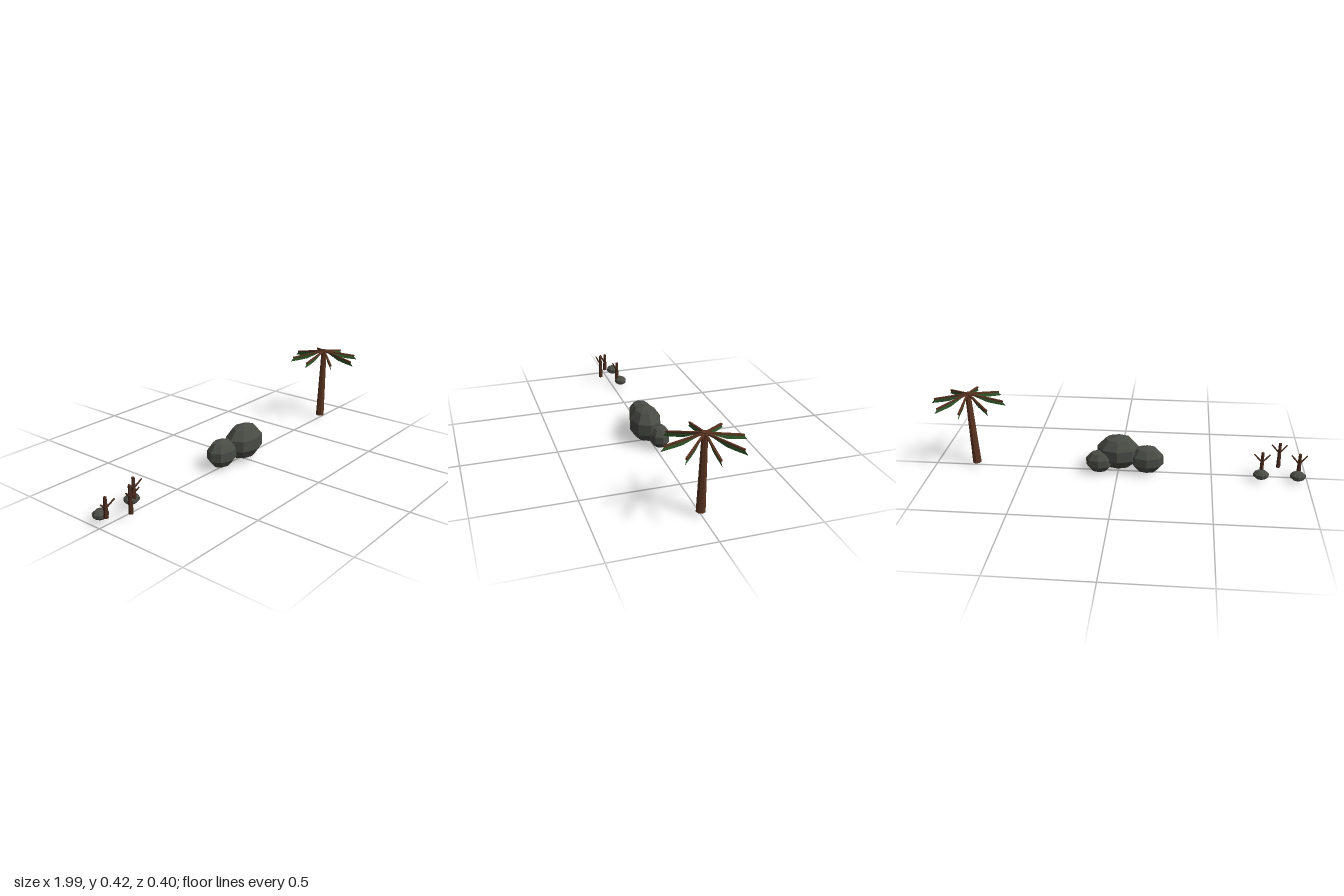
import * as THREE from 'three';

const mat = (name, color, extra = {}) => {
  const m = new THREE.MeshStandardMaterial({ color, flatShading: true, ...extra });
  m.name = name;
  return m;
};

export function createModel() {
  const bark = mat('palm bark', 0x5a3421);
  const wood = mat('dead wood', 0x4a2c1e);
  const stone = mat('stone', 0x494b45);
  const leaf = mat('frond green', 0x2f5a2b, { side: THREE.DoubleSide });
  const root = new THREE.Group();
  root.name = 'desertProps';

  const add = (parent, name, geometry, material) => {
    const mesh = new THREE.Mesh(geometry, material);
    mesh.name = name;
    parent.add(mesh);
    return mesh;
  };
  const group = (name, x, y, z) => {
    const g = new THREE.Group();
    g.name = name;
    g.position.set(x, y, z);
    root.add(g);
    return g;
  };
  // Tapered rod between two points
  const rod = (parent, name, a, b, r0, r1, sides, material) => {
    const from = new THREE.Vector3(...a), dir = new THREE.Vector3(...b).sub(from);
    const len = dir.length();
    const mesh = add(parent, name, new THREE.CylinderGeometry(r1, r0, len, sides), material);
    mesh.position.copy(from).addScaledVector(dir, 0.5);
    mesh.quaternion.setFromUnitVectors(new THREE.Vector3(0, 1, 0), dir.normalize());
    return mesh;
  };

  // Boulders and small flat stones: name, centre, radii
  const rocks = [
    ['largeBoulder', [0, 0.107, 0.0225], [0.12, 0.096, 0.088]],
    ['rightBoulder', [-0.155, 0.08, -0.002], [0.093, 0.077, 0.07]],
    ['leftBoulder', [0.1, 0.068, -0.025], [0.073, 0.062, 0.055]],
    ['outerStone', [-0.948, 0.04, -0.048], [0.043, 0.025, 0.037]],
    ['innerStone', [-0.757, 0.04, -0.048], [0.043, 0.025, 0.037]],
  ];
  for (const [name, centre, radii] of rocks) {
    const rock = add(root, name, new THREE.SphereGeometry(1, 8, 5), stone);
    rock.position.set(...centre);
    rock.scale.set(...radii);
  }

  // Dead saplings: base position, height, forward reach of the branches
  const saplings = [
    [-0.957, 0.04, 0.0, 0.104, 0.018],
    [-0.856, 0.037, 0.053, 0.14, 0.018],
    [-0.76, 0.04, -0.027, 0.118, 0.014],
  ];
  for (const [x, y, z, h, reach] of saplings) {
    const sapling = group('sapling', x, y, z);
    rod(sapling, 'saplingTrunk', [0, 0, 0], [0, h, 0], 0.012, 0.008, 6, wood);
    for (const side of [-1, 1]) {
      rod(sapling, 'saplingBranch', [0, h - 0.058, 0], [side * 0.041, h - 0.018, reach], 0.005, 0.004, 5, wood);
    }
  }

  // Leaning palm trunk
  const palm = group('palm', 0.794, 0, 0);
  rod(palm, 'palmTrunk', [-0.019, 0.02, 0], [0, 0.427, 0], 0.024, 0.015, 8, bark);

  // Eight drooping fronds: a thin stalk with an upright blade hanging beneath
  const bladeShape = new THREE.Shape([
    [0.005, 0.417], [0.03, 0.408], [0.1, 0.377], [0.14, 0.369],
    [0.2, 0.36], [0.182, 0.382],
  ].map(([x, y]) => new THREE.Vector2(x, y)));
  const bladeGeometry = new THREE.ShapeGeometry(bladeShape);
  const stalkGeometry = new THREE.BoxGeometry(0.19, 0.009, 0.009);
  for (let i = 0; i < 8; i++) {
    const frond = new THREE.Group();
    frond.name = 'frond';
    frond.rotation.y = (i * Math.PI) / 4;
    palm.add(frond);
    const stalk = add(frond, 'frondStalk', stalkGeometry, bark);
    stalk.position.set(0.092, 0.402, 0);
    stalk.rotation.z = -0.2;
    add(frond, 'frondBlade', bladeGeometry, leaf);
  }
  return root;
}
